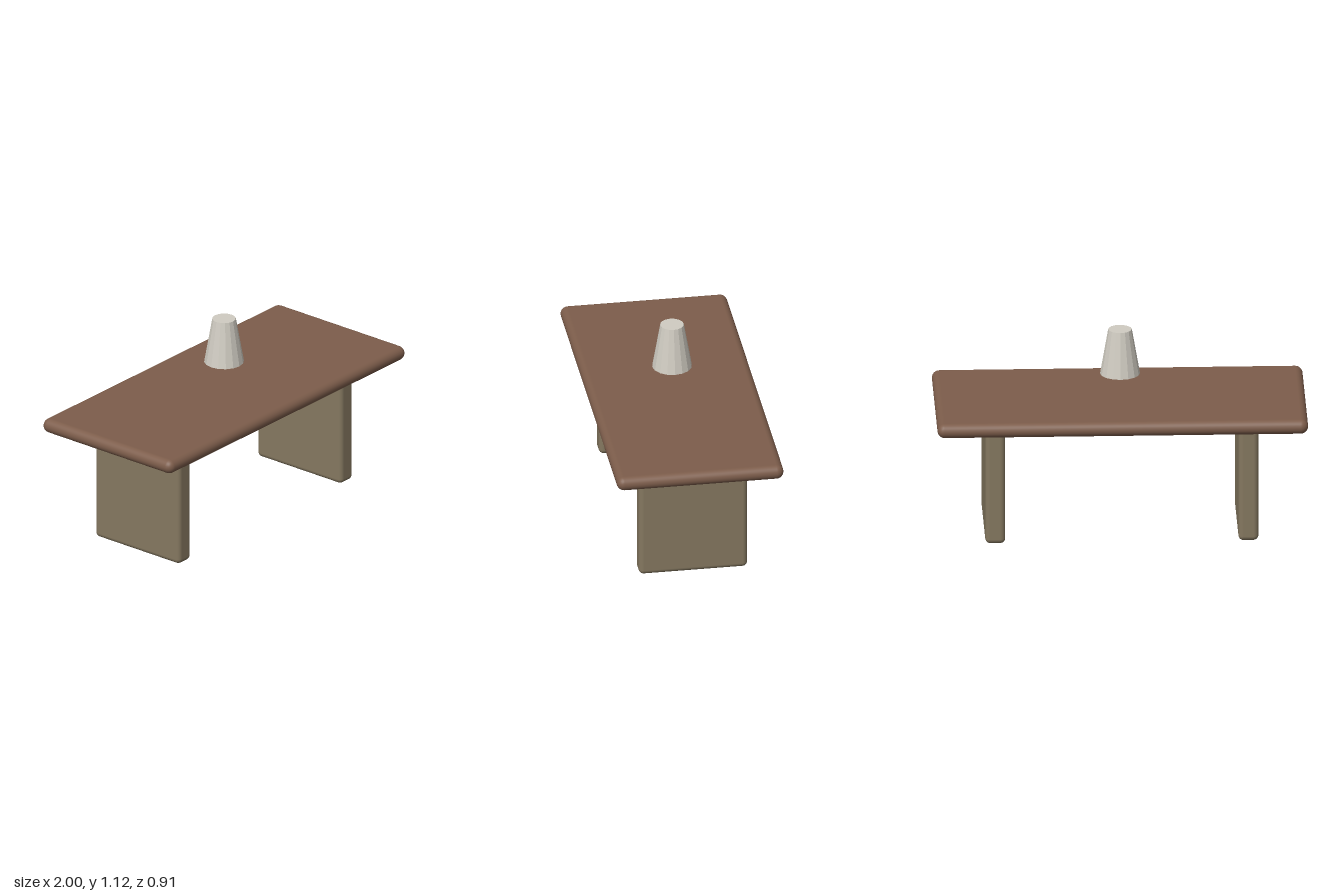
import * as THREE from 'three';
import { RoundedBoxGeometry } from 'three/addons/geometries/RoundedBoxGeometry.js';

function makeMaterial(name, color) {
  const material = new THREE.MeshStandardMaterial({ color });
  material.name = name;
  return material;
}

export function createModel() {
  const model = new THREE.Group();
  model.name = 'table';
  const wood = makeMaterial('brown wood', 0x7d5d4b);
  const legWood = makeMaterial('olive wood', 0x857860);
  const ceramic = makeMaterial('pale ceramic', 0xd0ccc2);

  function add(name, geometry, material, x, y) {
    const mesh = new THREE.Mesh(geometry, material);
    mesh.name = name;
    mesh.position.set(x, y, 0);
    model.add(mesh);
  }

  // Table top with fully rounded edges
  add('tableTop', new RoundedBoxGeometry(2, 0.08, 0.91, 3, 0.04), wood, 0, 0.701);

  // Slab legs, one at each end
  const legGeometry = new RoundedBoxGeometry(0.108, 0.655, 0.592, 3, 0.027);
  for (const side of [-1, 1]) {
    add(side > 0 ? 'leftLeg' : 'rightLeg', legGeometry, legWood, side * 0.683, 0.3275);
  }

  // Faceted tapered shade hovering above the top
  const shade = new THREE.CylinderGeometry(0.064, 0.108, 0.253, 16).toNonIndexed();
  shade.computeVertexNormals();
  add('shade', shade, ceramic, 0, 0.9935);

  return model;
}
